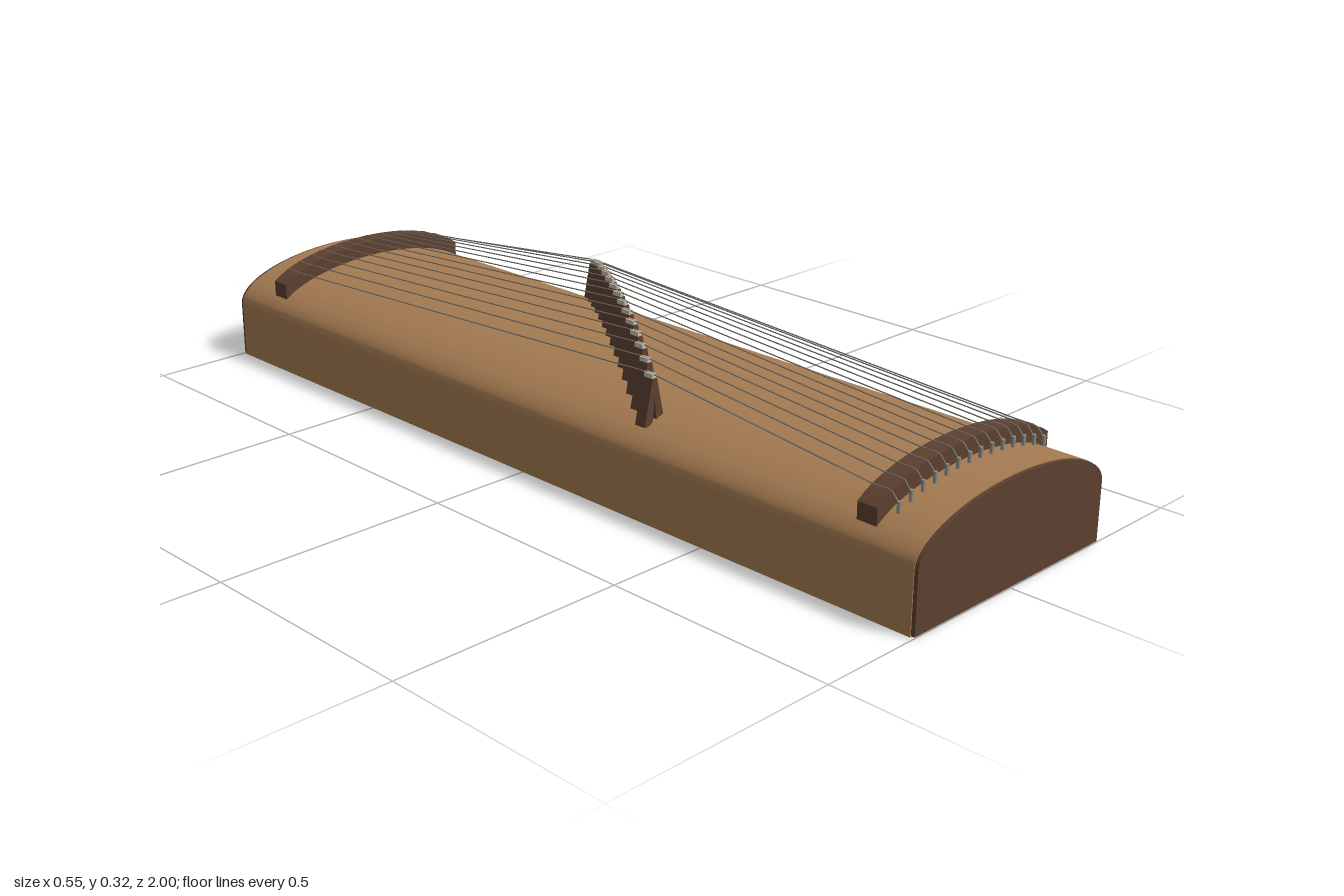
import * as THREE from 'three';
import { toCreasedNormals } from 'three/addons/utils/BufferGeometryUtils.js';

const HALF_W = 0.277, SIDE_H = 0.125, CROWN = 0.095;
const STRINGS = 14, SPACING = 0.033;
const BAR_Z = 0.868, BAR_H = 0.035, PIN_Z = 0.907, BRIDGE_H = 0.094;

const mat = (color) => new THREE.MeshStandardMaterial({ color });

// Height of the arched soundboard at x
const surface = (x) => SIDE_H + CROWN * Math.sqrt(Math.max(0, 1 - (x / HALF_W) ** 2));

function add(parent, name, geometry, material, x = 0, y = 0, z = 0) {
  const mesh = new THREE.Mesh(geometry, material);
  mesh.name = name;
  mesh.position.set(x, y, z);
  parent.add(mesh);
  return mesh;
}

// Extrude a shape along z, centred on z = 0
function extrude(shape, depth) {
  const g = new THREE.ExtrudeGeometry(shape, { depth, bevelEnabled: false });
  g.translate(0, 0, -depth / 2);
  return toCreasedNormals(g, 0.5);
}

// Flat bottom, straight sides, elliptical top
function bodyShape(inset) {
  const w = HALF_W - inset, s = new THREE.Shape();
  s.moveTo(-w, inset);
  s.lineTo(w, inset);
  for (let i = 0; i <= 48; i++) {
    const a = (Math.PI * i) / 48;
    s.lineTo(w * Math.cos(a), SIDE_H + (CROWN - inset) * Math.sin(a));
  }
  return s;
}

// Curved band that follows the soundboard
function barShape() {
  const s = new THREE.Shape(), half = 0.252, n = 28;
  for (let i = 0; i <= n; i++) {
    const x = -half + (2 * half * i) / n;
    if (i === 0) s.moveTo(x, surface(x) - 0.003);
    else s.lineTo(x, surface(x) - 0.003);
  }
  for (let i = n; i >= 0; i--) {
    const x = -half + (2 * half * i) / n;
    s.lineTo(x, surface(x) + BAR_H);
  }
  return s;
}

// Two splayed legs joined at the top
function bridgeShape() {
  return new THREE.Shape([
    [-0.027, -0.008], [-0.006, -0.008], [0, 0.045], [0.006, -0.008],
    [0.027, -0.008], [0.006, 0.086], [-0.006, 0.086],
  ].map(([x, y]) => new THREE.Vector2(x, y)));
}

export function createModel() {
  const model = new THREE.Group();
  model.name = 'zither';
  const wood = mat(0xa67c52), dark = mat(0x5c4030);
  const ivory = mat(0xc8c0b0), metal = mat(0x8c8c88), wire = mat(0x77746c);

  // Hollow-looking body with dark end plates
  add(model, 'body', extrude(bodyShape(0), 1.984), wood);
  const cap = extrude(bodyShape(0.002), 0.012);
  const bar = extrude(barShape(), 0.044);
  for (const [side, s] of [['front', 1], ['back', -1]]) {
    add(model, side + 'EndPlate', cap, dark, 0, 0, s * 0.994);
    add(model, side + 'StringBar', bar, dark, 0, 0, s * BAR_Z);
  }

  // Each string with its movable bridge and two pins
  const bridgeGeo = extrude(bridgeShape(), 0.026);
  const tipGeo = new THREE.BoxGeometry(0.01, 0.01, 0.022);
  const pinGeo = new THREE.CylinderGeometry(0.004, 0.004, 0.03, 10);
  for (let i = 0; i < STRINGS; i++) {
    const x = (i - (STRINGS - 1) / 2) * SPACING;
    const y = surface(x), z = -1.41 * x;

    const bridge = new THREE.Group();
    bridge.name = 'bridge' + (i + 1);
    bridge.position.set(x, y, z);
    add(bridge, 'bridgeLegs', bridgeGeo, dark);
    add(bridge, 'bridgeTip', tipGeo, ivory, 0, 0.09, 0);
    model.add(bridge);

    for (const s of [1, -1]) add(model, 'pin', pinGeo, metal, x, y + 0.006, s * PIN_Z);

    const path = new THREE.CurvePath();
    const points = [
      [y + 0.016, PIN_Z], [y + BAR_H + 0.001, BAR_Z + 0.022], [y + BAR_H + 0.001, BAR_Z - 0.022],
      [y + BRIDGE_H + 0.001, z],
      [y + BAR_H + 0.001, -BAR_Z + 0.022], [y + BAR_H + 0.001, -BAR_Z - 0.022], [y + 0.016, -PIN_Z],
    ].map(([py, pz]) => new THREE.Vector3(x, py, pz));
    for (let k = 1; k < points.length; k++) path.add(new THREE.LineCurve3(points[k - 1], points[k]));
    add(model, 'string', new THREE.TubeGeometry(path, 160, 0.0013, 6), wire);
  }
  return model;
}
